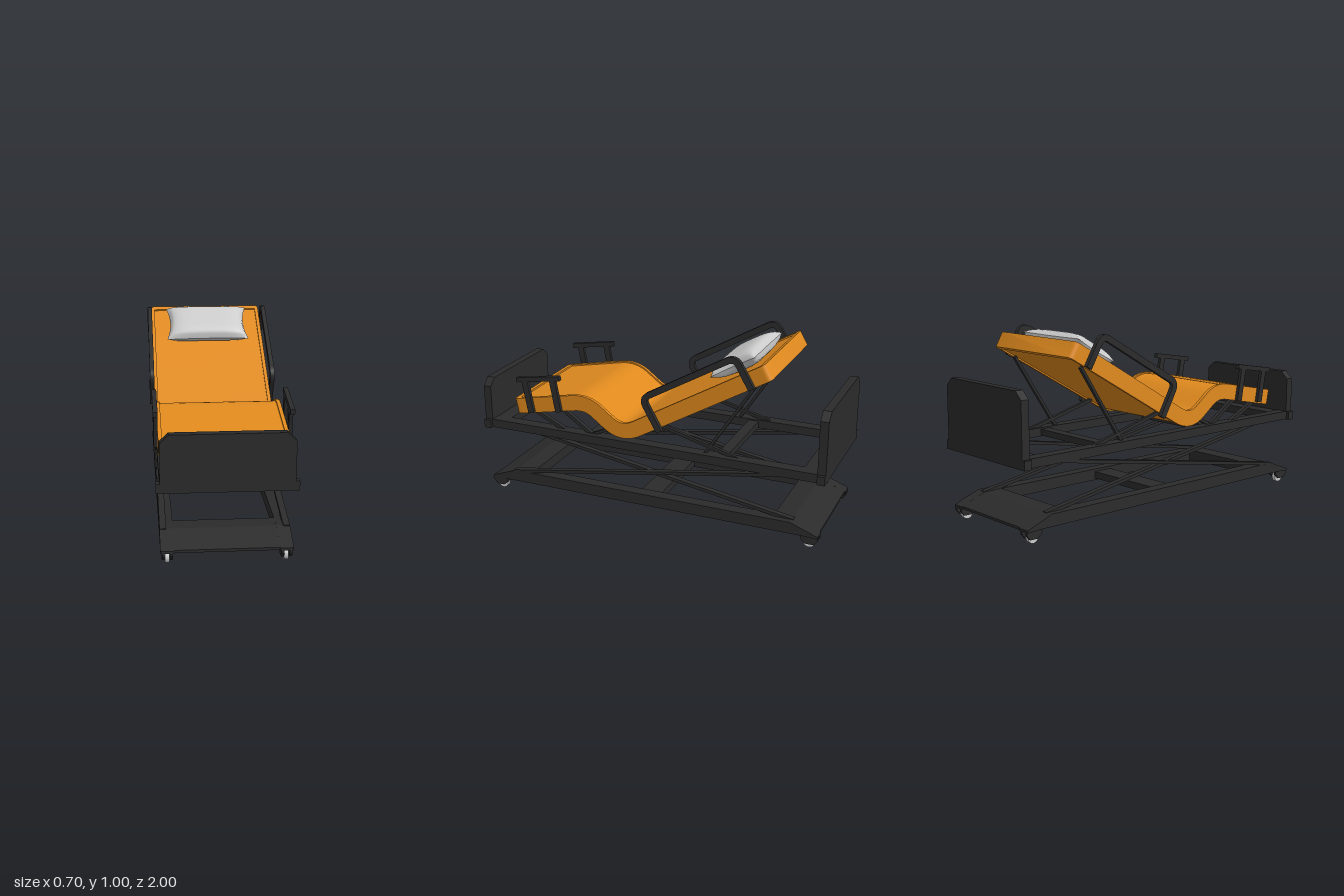
import * as THREE from 'three';
import { toCreasedNormals } from 'three/addons/utils/BufferGeometryUtils.js';

const mat = (color, extra = {}) => new THREE.MeshStandardMaterial({ color, ...extra });

// Sweep a cross-section [x, offset] along a path in the (z, y) plane.
// stations: [{ t, section }], every section having the same point count.
function sweep(path, stations) {
  const pos = [], idx = [], n = stations[0].section.length;
  for (const { t, section } of stations) {
    const p = path.getPointAt(t), d = path.getTangentAt(t);
    for (const [x, o] of section) pos.push(x, p.y - d.x * o, p.x + d.y * o);
  }
  for (let i = 0; i < stations.length - 1; i++) {
    for (let j = 0; j < n; j++) {
      const a = i * n + j, b = i * n + (j + 1) % n;
      idx.push(a, a + n, b + n, a, b + n, b);
    }
  }
  const e = (stations.length - 1) * n;
  for (let j = 1; j < n - 1; j++) idx.push(0, j, j + 1, e, e + j + 1, e + j);
  const g = new THREE.BufferGeometry();
  g.setAttribute('position', new THREE.Float32BufferAttribute(pos, 3));
  g.setIndex(idx);
  return toCreasedNormals(g, 0.5);
}

// Extrude a side outline of [z, y] points across x, centred on x = 0
function sideExtrude(points, width) {
  const s = new THREE.Shape(points.map(p => new THREE.Vector2(...p)));
  return new THREE.ExtrudeGeometry(s, { depth: width, bevelEnabled: false })
    .rotateY(-Math.PI / 2).translate(width / 2, 0, 0);
}

export function createModel() {
  const bed = new THREE.Group();
  const dark = mat(0x2b2b2b), orange = mat(0xe08a1e), grey = mat(0xcccccc);
  const add = (name, geo, material = dark, x = 0, y = 0, z = 0) => {
    const m = new THREE.Mesh(geo, material);
    m.name = name;
    m.position.set(x, y, z);
    bed.add(m);
    return m;
  };
  const box = (name, w, h, d, x, y, z) => add(name, new THREE.BoxGeometry(w, h, d), dark, x, y, z);
  // Straight bar between two [z, y] points
  const bar = (name, x, [z1, y1], [z2, y2], w, t) => {
    const m = box(name, w, t, Math.hypot(z2 - z1, y2 - y1), x, (y1 + y2) / 2, (z1 + z2) / 2);
    m.rotation.x = -Math.atan2(y2 - y1, z2 - z1);
  };

  // Mattress: bent slab with a raised border around recessed panels
  const bend = new THREE.Path().moveTo(0.795, 0.5375).lineTo(0.43, 0.61);
  bend.quadraticCurveTo(0.35, 0.626, 0.29, 0.581).lineTo(0.22, 0.528);
  bend.quadraticCurveTo(0.14, 0.467, 0.05, 0.519).lineTo(-0.6775, 0.9385);
  const slab = (w, d) => {
    const h = 0.044, i = w - 0.02;
    return [[-w, -h], [-i, -h], [-i, d - h], [i, d - h], [i, -h], [w, -h],
      [w, h], [i, h], [i, h - d], [-i, h - d], [-i, h], [-w, h]];
  };
  const ends = [[0, 0.308, 0], [0.003, 0.317, 0], [0.008, 0.323, 0], [0.013, 0.325, 0],
    [0.018, 0.325, 0], [0.0181, 0.325, 0.008]];
  const stations = ends.map(([t, w, d]) => ({ t, section: slab(w, d) }));
  for (let i = 2; i < 79; i++) stations.push({ t: i / 80, section: slab(0.325, 0.008) });
  for (const [t, w, d] of [...ends].reverse()) stations.push({ t: 1 - t, section: slab(w, d) });
  add('mattress', sweep(bend, stations), orange);

  // Pillow: two puffed sheets meeting at a pinched seam
  const pillow = new THREE.Group();
  pillow.name = 'pillow';
  const puff = new THREE.PlaneGeometry(2, 2, 32, 24).rotateX(-Math.PI / 2);
  const p = puff.attributes.position;
  for (let i = 0; i < p.count; i++) {
    const u = p.getX(i), v = p.getZ(i);
    const height = 0.052 * Math.sqrt(Math.max(0, (1 - u ** 4) * (1 - v ** 4)));
    p.setXYZ(i, u * (0.238 - 0.022 * (1 - v * v) * u * u), height,
      v * (0.138 - 0.006 * (1 - u * u)));
  }
  puff.computeVertexNormals();
  for (const turn of [0, Math.PI]) {
    const half = new THREE.Mesh(puff, grey);
    half.name = turn ? 'pillowUnderside' : 'pillowTop';
    half.rotation.x = turn;
    pillow.add(half);
  }
  pillow.position.set(0, 0.908, -0.455);
  pillow.rotation.x = Math.PI / 6;
  bed.add(pillow);

  // Headboard and footboard with clipped top corners
  for (const [name, top, z] of [['footboard', 0.672, 0.955], ['headboard', 0.765, -1]]) {
    const s = new THREE.Shape([[-0.325, 0.385], [0.325, 0.385], [0.325, top - 0.042], [0.28, top],
      [-0.28, top], [-0.325, top - 0.042]].map(q => new THREE.Vector2(...q)));
    add(name, new THREE.ExtrudeGeometry(s, { depth: 0.045, bevelEnabled: false }), dark, 0, 0, z);
  }

  // Upper frame cross members
  for (const z of [0.34, -0.42]) box('upperCrossbar', 0.52, 0.035, 0.06, 0, 0.408, z);
  // Lower frame middle cross member
  box('lowerCrossbar', 0.52, 0.04, 0.12, 0, 0.1, 0);

  const lowerRail = sideExtrude([[0.975, 0.065], [0.975, 0.078], [0.825, 0.135], [-0.825, 0.135],
    [-0.975, 0.078], [-0.975, 0.065], [-0.89, 0.07], [0.89, 0.07]], 0.068);
  const endPlate = sideExtrude([[0.97, 0.066], [0.97, 0.08], [0.825, 0.134], [0.72, 0.134],
    [0.72, 0.072], [0.89, 0.072]], 0.52);
  const fork = sideExtrude([[0.05, 0.066], [-0.045, 0.066], [-0.04, 0.045], [-0.015, 0.025],
    [0.03, 0.025], [0.05, 0.05]], 0.014);
  const wheel = new THREE.CylinderGeometry(0.031, 0.031, 0.022, 24).rotateZ(Math.PI / 2);

  // Parts at both ends
  for (const s of [1, -1]) {
    box('upperEndBar', 0.52, 0.045, 0.09, 0, 0.408, s * 0.915);
    box('boardBumper', 0.686, 0.048, 0.042, 0, 0.407, s * 0.979);
    add('lowerEndPlate', endPlate).rotation.y = s > 0 ? 0 : Math.PI;
  }

  // Back guard: rounded hoop; profile swept along its side outline
  const hoop = new THREE.Path().moveTo(-0.092, 0.53).lineTo(-0.015, 0.665);
  hoop.quadraticCurveTo(0.008, 0.705, -0.03, 0.728).lineTo(-0.462, 0.975);
  hoop.quadraticCurveTo(-0.505, 1, -0.528, 0.962).lineTo(-0.598, 0.842);
  const hoopSection = [[-0.012, -0.017], [0.012, -0.017], [0.012, 0.017], [-0.012, 0.017]];
  const hoopGeo = sweep(hoop, Array.from({ length: 81 }, (_, i) => ({ t: i / 80, section: hoopSection })));

  // Parts on both sides
  for (const s of [1, -1]) {
    box('upperSideRail', 0.068, 0.048, 1.94, s * 0.291, 0.409, 0);
    add('lowerSideRail', lowerRail, dark, s * 0.291);

    // Scissor legs, crossing side by side
    bar('outerScissorLeg', s * 0.308, [0.83, 0.128], [-0.76, 0.392], 0.033, 0.018);
    bar('innerScissorLeg', s * 0.274, [-0.83, 0.128], [0.76, 0.392], 0.033, 0.018);

    // Struts carrying the mattress sections
    bar('backStrut', s * 0.28, [-0.6, 0.84], [-0.33, 0.425], 0.02, 0.016);
    bar('backLowerStrut', s * 0.28, [-0.07, 0.545], [-0.52, 0.425], 0.02, 0.018);
    bar('footStrut', s * 0.28, [0.7, 0.52], [0.51, 0.425], 0.025, 0.02);
    bar('kneeStrut', s * 0.28, [0.52, 0.55], [0.34, 0.425], 0.025, 0.02);
    bar('seatStrut', s * 0.28, [0.34, 0.425], [0.21, 0.485], 0.025, 0.016);

    // Guards
    add('backGuard', hoopGeo, dark, s * 0.336);
    bar('footGuardTop', s * 0.336, [0.77, 0.704], [0.5, 0.748], 0.024, 0.026);
    bar('footGuardPost', s * 0.334, [0.722, 0.71], [0.688, 0.522], 0.02, 0.036);
    bar('footGuardPost', s * 0.334, [0.548, 0.735], [0.515, 0.55], 0.02, 0.036);

    // Casters
    for (const e of [1, -1]) {
      add('casterWheel', wheel, grey, s * 0.291, 0.031, e * 0.925);
      for (const dx of [-0.02, 0.02]) {
        const f = add('casterFork', fork, dark, s * 0.291 + dx, 0, e * 0.925);
        f.rotation.y = e > 0 ? 0 : Math.PI;
      }
    }
  }
  return bed;
}
